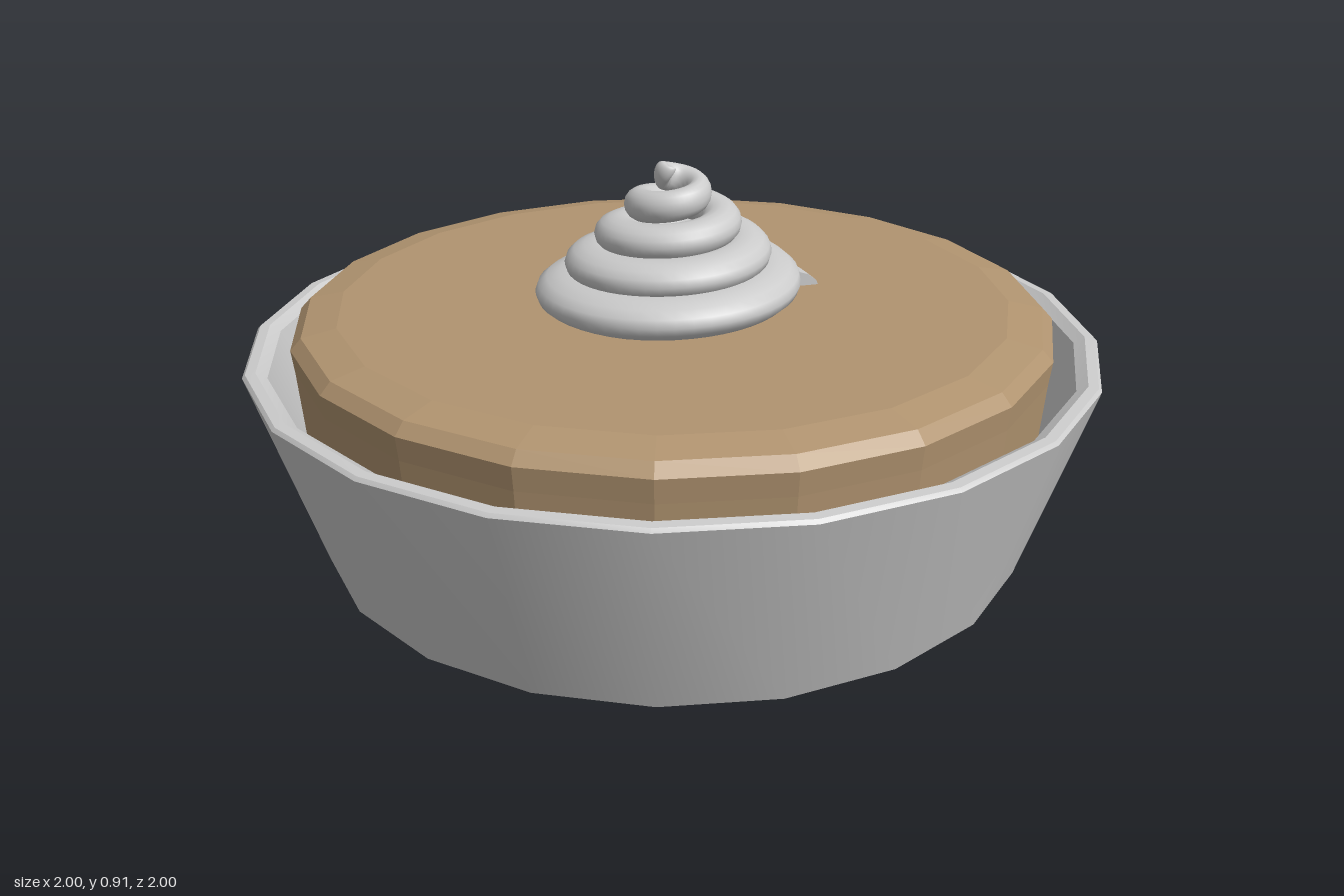
import * as THREE from 'three';
import { toCreasedNormals } from 'three/addons/utils/BufferGeometryUtils.js';

const SIDES = 20;

function lathe(points) {
  return new THREE.LatheGeometry(points.map(([r, y]) => new THREE.Vector2(r, y)), SIDES);
}

// Tapering elliptical tube wound into a rising spiral, with a flat cap at its start
function swirlGeometry(turns = 4.72, stepsPerTurn = 48, around = 16) {
  const positions = [], index = [];
  let rings = 0;
  const addRing = (u, scale = 1) => {
    const tip = Math.min(1, (turns - u) / 0.3 + 0.05);
    const width = (0.1 - 0.018 * u) * tip * scale;
    const height = (0.052 - 0.004 * u) * tip * scale;
    const radius = 0.26 - 0.052 * u;
    const angle = u * Math.PI * 2;
    for (let j = 0; j < around; j++) {
      const a = (j / around) * Math.PI * 2;
      const r = radius + width * Math.cos(a);
      positions.push(
        r * Math.cos(angle),
        0.57 + 0.069 * u + height * Math.sin(a),
        0.015 - r * Math.sin(angle)
      );
    }
    rings++;
  };
  addRing(0, 0); // cap centre
  addRing(0);    // cap edge
  const steps = Math.round(turns * stepsPerTurn);
  for (let i = 0; i <= steps; i++) addRing((turns * i) / steps);
  addRing(turns, 0); // closed tip
  for (let i = 0; i < rings - 1; i++) {
    if (i === 1) continue; // keeps the cap edge sharp
    for (let j = 0; j < around; j++) {
      const k = (j + 1) % around;
      const a = i * around + j, b = a + around;
      const c = i * around + k, d = c + around;
      index.push(a, b, c, b, d, c);
    }
  }
  const geometry = new THREE.BufferGeometry();
  geometry.setAttribute('position', new THREE.Float32BufferAttribute(positions, 3));
  geometry.setIndex(index);
  geometry.computeVertexNormals();
  return geometry;
}

export function createModel() {
  const group = new THREE.Group();
  const add = (name, geometry, material) => {
    const mesh = new THREE.Mesh(geometry, material);
    mesh.name = name;
    group.add(mesh);
  };

  // Flared tin with a narrow rounded rim and a sloping inner wall
  add('tin', toCreasedNormals(lathe([
    [0.84, 0], [1, 0.48], [0.993, 0.488], [0.97, 0.49], [0.945, 0.475], [0.84, 0.16],
  ]), 0.6), new THREE.MeshStandardMaterial({ color: 0xcccccc, side: THREE.DoubleSide }));

  // Filling with a bevelled top edge, also closing the underside
  add('filling', lathe([
    [0, 0], [0.84, 0], [0.883, 0.48], [0.89, 0.535], [0.865, 0.562], [0.785, 0.578], [0, 0.58],
  ]), new THREE.MeshStandardMaterial({ color: 0xb19470, flatShading: true }));

  // Whipped cream swirl
  add('creamSwirl', swirlGeometry(), new THREE.MeshStandardMaterial({ color: 0xcccccc, side: THREE.DoubleSide }));

  return group;
}
